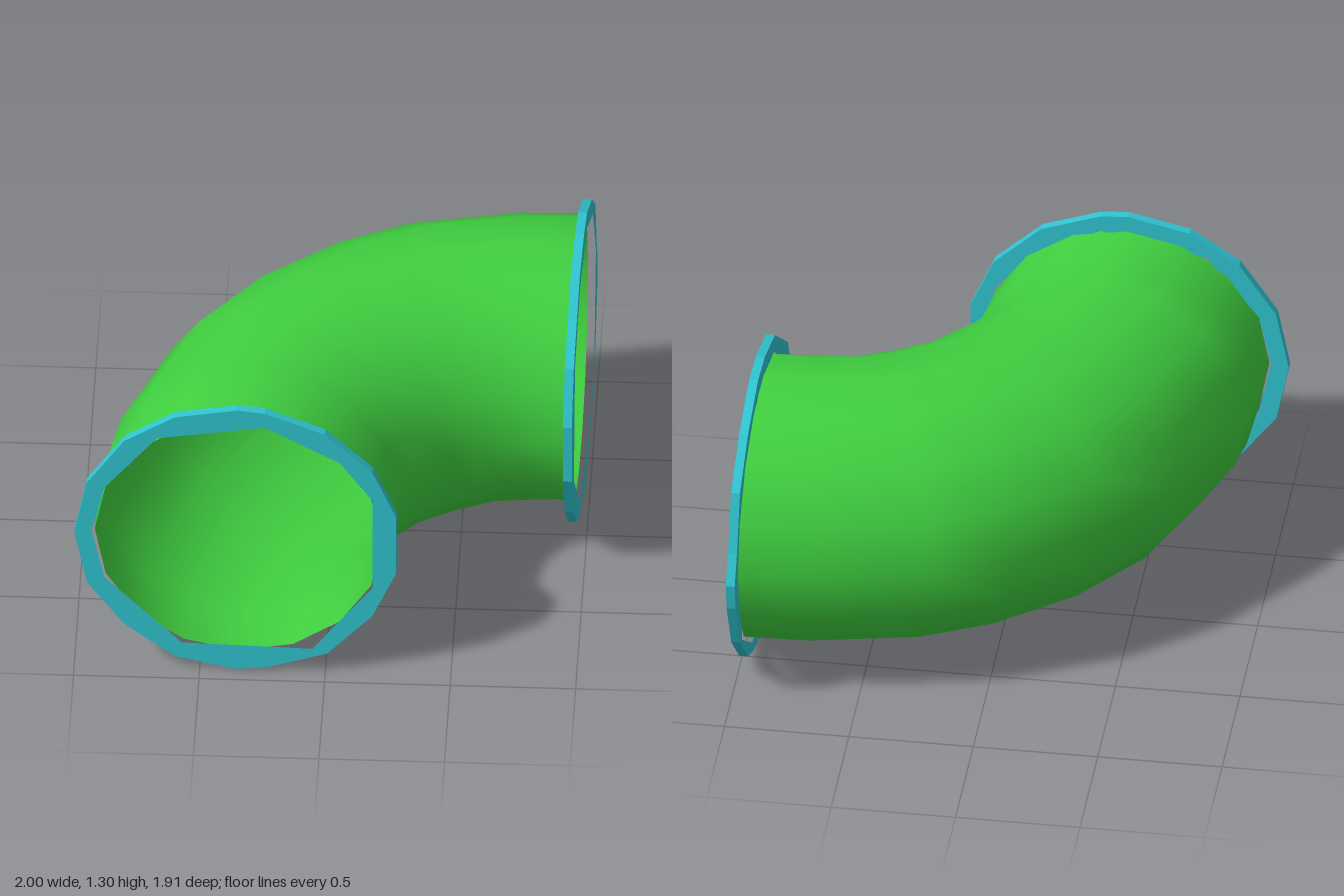
import * as THREE from 'three';

const CENTRE_Y = 0.655;
const RADIUS = 0.575;
const SIDES = 16;

// Cross-sections of the bend: outer x, z then inner x, z
const SECTIONS = [
  [-0.92, 0.89, 0.225, 0.93],
  [-0.91, 0.63, 0.26, 0.7],
  [-0.88, 0.46, 0.28, 0.6],
  [-0.69, -0.03, 0.34, 0.51],
  [-0.44, -0.36, 0.48, 0.37],
  [-0.11, -0.63, 0.59, 0.32],
  [0.2, -0.78, 0.71, 0.27],
  [0.68, -0.88, 0.82, 0.265],
  [0.965, -0.89, 0.945, 0.26],
];

// Flange outlines, sideways and height
const FRONT_OUTER = [[-0.24, 1.29], [0, 1.2], [0.19, 1.02], [0.285, 0.8], [0.285, 0.52], [0.19, 0.3],
  [0.01, 0.1], [-0.22, 0.02], [-0.35, 0], [-0.6, 0.05], [-0.8, 0.2], [-0.95, 0.4], [-1, 0.65],
  [-0.95, 0.9], [-0.8, 1.12], [-0.6, 1.25], [-0.35, 1.3]];
const FRONT_INNER = [[-0.24, 1.22], [0.06, 1.06], [0.19, 0.88], [0.19, 0.44], [-0.05, 0.12],
  [-0.57, 0.12], [-0.88, 0.43], [-0.93, 0.66], [-0.88, 0.88], [-0.67, 1.14]];
const SIDE_OUTER = [[0.05, 1.25], [0.28, 1.3], [0.43, 1.29], [0.66, 1.18], [0.84, 1.02], [0.91, 0.77],
  [0.96, 0.65], [0.94, 0.53], [0.84, 0.3], [0.66, 0.11], [0.55, 0.06], [0.3, 0], [-0.07, 0.12],
  [-0.24, 0.3], [-0.34, 0.53], [-0.34, 0.8], [-0.24, 1.02]];
const SIDE_INNER = [[-0.18, 0.98], [0.08, 1.19], [0.42, 1.22], [0.72, 1.06], [0.87, 0.77],
  [0.79, 0.28], [0.56, 0.11], [0.05, 0.12], [-0.23, 0.45]];

// Curved pipe wall lofted through round sections
function makeElbow(material) {
  const positions = [];
  const index = [];
  SECTIONS.forEach(([ox, oz, ix, iz], i) => {
    for (let j = 0; j < SIDES; j++) {
      const angle = (j / SIDES) * Math.PI * 2;
      const t = (1 + Math.cos(angle)) / 2;
      positions.push(ox + (ix - ox) * t, CENTRE_Y + Math.sin(angle) * RADIUS, oz + (iz - oz) * t);
      if (i === SECTIONS.length - 1) continue;
      const a = i * SIDES + j;
      const b = i * SIDES + ((j + 1) % SIDES);
      index.push(a, a + SIDES, b, b, a + SIDES, b + SIDES);
    }
  });
  const geometry = new THREE.BufferGeometry();
  geometry.setAttribute('position', new THREE.Float32BufferAttribute(positions, 3));
  geometry.setIndex(index);
  geometry.computeVertexNormals();
  const mesh = new THREE.Mesh(geometry, material);
  mesh.name = 'elbowPipe';
  return mesh;
}

// Thin ring plate, centred sideways on the pipe end
function makeFlange(name, outer, inner, centre, material) {
  const toPoints = (list) => list.map(([x, y]) => new THREE.Vector2(x - centre, y));
  const shape = new THREE.Shape(toPoints(outer));
  shape.holes.push(new THREE.Path(toPoints(inner)));
  const geometry = new THREE.ExtrudeGeometry(shape, { depth: 0.036, bevelEnabled: false });
  const mesh = new THREE.Mesh(geometry, material);
  mesh.name = name;
  return mesh;
}

export function createModel() {
  const model = new THREE.Group();
  model.name = 'pipeElbow';
  const green = new THREE.MeshStandardMaterial({ color: 0x40d040, side: THREE.DoubleSide });
  const cyan = new THREE.MeshStandardMaterial({ color: 0x2fc4d0, flatShading: true });
  const tilt = -0.035;

  const front = makeFlange('frontFlange', FRONT_OUTER, FRONT_INNER, -0.35, cyan);
  front.position.set(-0.35, 0, 0.895);
  front.rotation.y = tilt;

  const side = makeFlange('leftFlange', SIDE_OUTER, SIDE_INNER, 0.31, cyan);
  side.position.set(0.942, 0, -0.31);
  side.rotation.y = Math.PI / 2 + tilt;

  model.add(makeElbow(green), front, side);
  return model;
}
